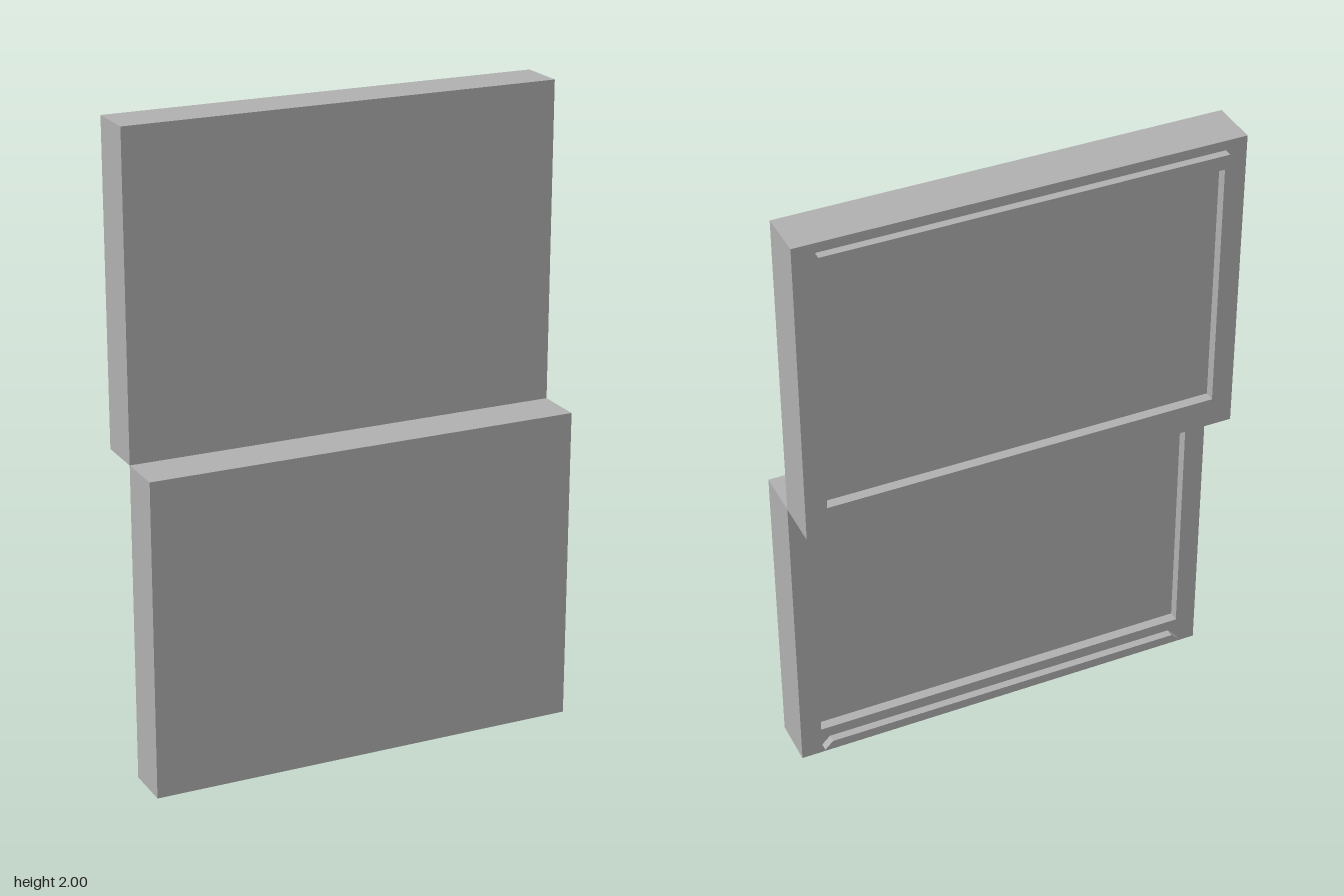
import * as THREE from 'three';

const HALF_W = 0.69, DEPTH = 0.154, RECESS = 0.033;
const HOLE_X = 0.623, HOLE_MARGIN = 0.095;

function polygon(points, Type = THREE.Shape) {
  return new Type(points.map(([x, y]) => new THREE.Vector2(x, y)));
}

function rect(hw, hh, Type) {
  return polygon([[-hw, -hh], [hw, -hh], [hw, hh], [-hw, hh]], Type);
}

// One door panel, 1 unit high; its back lies at z = 0 and edge (+1 or -1)
// picks whether the grip rail runs along the top or the bottom.
function makePanel(name, edge, material) {
  const panel = new THREE.Group();
  panel.name = name;
  const add = (part, geometry) => {
    const mesh = new THREE.Mesh(geometry, material);
    mesh.name = part;
    panel.add(mesh);
    return mesh;
  };

  // Solid front slab
  const slab = add('frontSlab', new THREE.BoxGeometry(2 * HALF_W, 1, DEPTH - RECESS));
  slab.position.z = (DEPTH + RECESS) / 2;

  // Raised border around the recessed back
  const border = rect(HALF_W, 0.5);
  border.holes.push(rect(HOLE_X, 0.5 - HOLE_MARGIN, THREE.Path));
  add('backBorder', new THREE.ExtrudeGeometry(border, { depth: RECESS, bevelEnabled: false }));

  // Thin rail with mitred ends, longer on the side nearest the panel edge
  const outer = edge * 0.469, inner = edge * 0.442;
  const rail = polygon([[-0.622, outer], [0.622, outer], [0.595, inner], [-0.595, inner]]);
  add('gripRail', new THREE.ExtrudeGeometry(rail, { depth: 0.026, bevelEnabled: false }))
    .position.z = -0.026;
  return panel;
}

export function createModel() {
  const group = new THREE.Group();
  group.name = 'slidingPanels';
  const grey = new THREE.MeshStandardMaterial({ color: 0xb0b0b0 });
  grey.name = 'grey';

  const upper = makePanel('upperPanel', 1, grey);
  upper.position.set(0, 1.5, -0.141);
  const lower = makePanel('lowerPanel', -1, grey);
  lower.position.set(0, 0.5, 0.013);
  group.add(upper, lower);
  return group;
}
